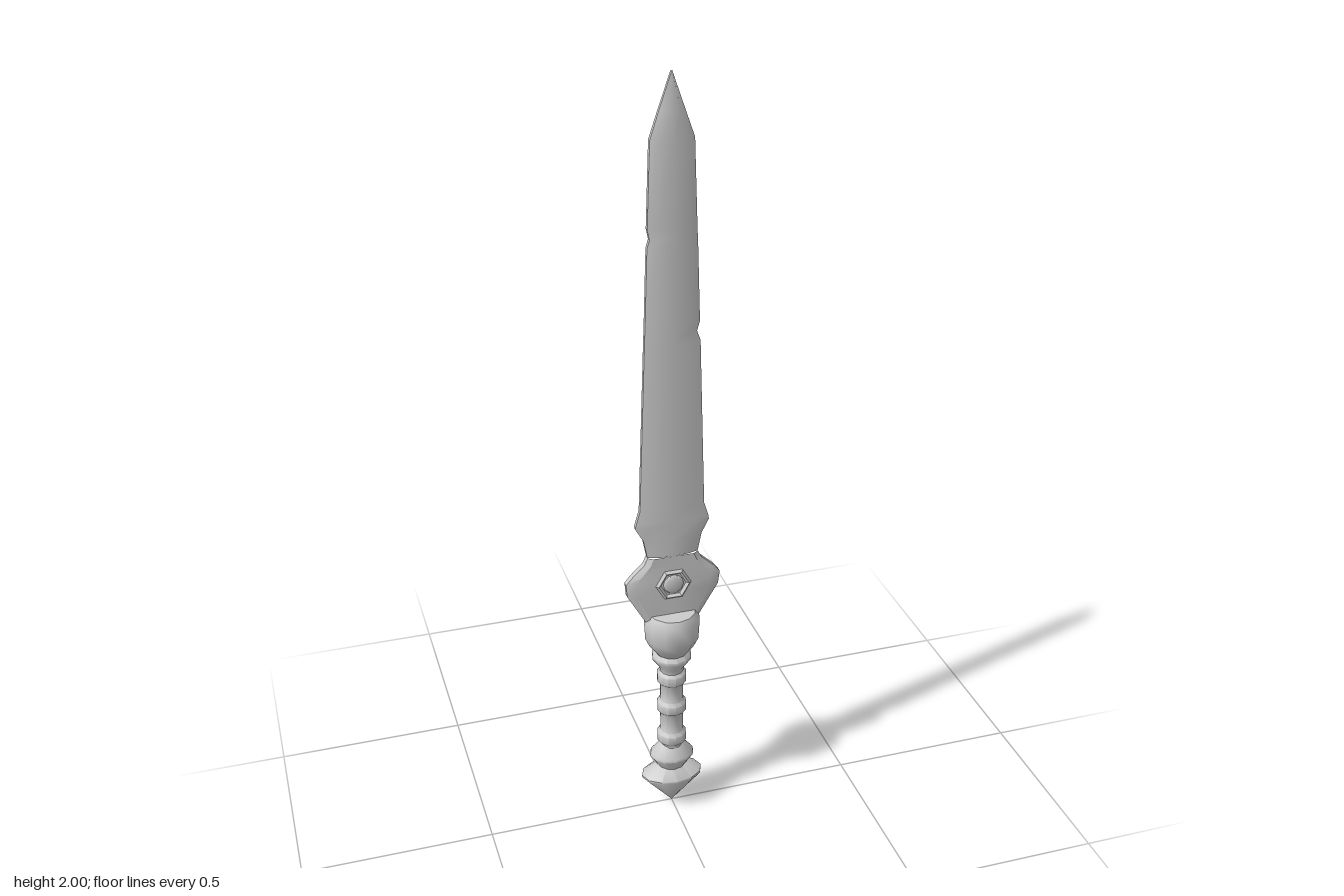
import * as THREE from 'three';
import { toCreasedNormals } from 'three/addons/utils/BufferGeometryUtils.js';

const material = new THREE.MeshStandardMaterial({ color: 0xcccccc });

function part(name, geometry, crease = 0.7) {
  const mesh = new THREE.Mesh(toCreasedNormals(geometry, crease), material);
  mesh.name = name;
  return mesh;
}

// Skin a stack of eight-cornered cross-sections: [y, left, right, middle z, shoulder z, edge z, shoulder ratio]
function bladeGeometry(rows) {
  const positions = [], index = [], n = 8;
  for (const [y, left, right, zMid, zShoulder, zEdge, k] of rows) {
    positions.push(
      right, y, zEdge, right * k, y, zShoulder, 0, y, zMid, -left * k, y, zShoulder,
      -left, y, zEdge, -left, y, -zEdge);
    // back half, with the shoulders and ridge mirrored
    positions.push(-left * k, y, -zShoulder, 0, y, -zMid, right * k, y, -zShoulder, right, y, -zEdge);
  }
  const count = n + 2;
  for (let i = 0; i < rows.length - 1; i++) {
    for (let j = 0; j < count; j++) {
      const a = i * count + j, b = i * count + (j + 1) % count;
      index.push(a, a + count, b, b, a + count, b + count);
    }
  }
  for (let j = 1; j < count - 1; j++) index.push(0, j, j + 1);
  const geometry = new THREE.BufferGeometry();
  geometry.setAttribute('position', new THREE.Float32BufferAttribute(positions, 3));
  geometry.setIndex(index);
  return geometry;
}

function turned(name, profile, depth = 1) {
  const points = profile.map(([r, y]) => new THREE.Vector2(r, y));
  const geometry = new THREE.LatheGeometry(points, 12);
  geometry.scale(1, 1, depth);
  return part(name, geometry, 0.8);
}

export function createModel() {
  const model = new THREE.Group();
  model.name = 'sword';

  // Flat guard plate with bevelled ends
  const guard = [
    [0.585, 0.066, 0.066], [0.6, 0.074, 0.074], [0.68, 0.119, 0.122],
    [0.715, 0.122, 0.126], [0.735, 0.105, 0.11], [0.765, 0.074, 0.077], [0.785, 0.065, 0.067],
  ].map(([y, l, r]) => [y, l, r, 0.017, 0.017, 0.008, 0.8]);

  // Barbed blade with a shallow ridge and a worn nick on each edge
  const edge = [
    [0.785, 0.065, 0.067], [0.835, 0.075, 0.077], [0.872, 0.096, 0.096], [0.885, 0.093, 0.094], [0.92, 0.083, 0.083],
    [1.36, 0.068, 0.07], [1.385, 0.067, 0.061], [1.41, 0.066, 0.068],
    [1.6, 0.06, 0.062], [1.62, 0.054, 0.061], [1.645, 0.059, 0.06], [1.85, 0.052, 0.053],
  ].map(([y, l, r]) => [y, l, r, 0.017, 0.014, 0.006, 0.6]);
  edge.push([1.91, 0.032, 0.032, 0.014, 0.011, 0.005, 0.6], [2, 0.001, 0.001, 0.004, 0.004, 0.003, 0.6]);

  model.add(part('guardPlate', bladeGeometry(guard), 0.5));
  model.add(part('blade', bladeGeometry(edge), 0.5));

  // Hexagonal setting and gem on both faces
  for (const side of [1, -1]) {
    const setting = new THREE.Group();
    setting.name = side > 0 ? 'frontGem' : 'backGem';
    const frame = part('gemFrame', new THREE.TorusGeometry(0.04, 0.007, 4, 6), 0.4);
    const gem = part('gem', new THREE.SphereGeometry(0.027, 8, 6), 1);
    gem.scale.z = 0.25;
    setting.add(frame, gem);
    setting.position.set(0, 0.703, side * 0.017);
    model.add(setting);
  }

  // Bulbous collar holding the blade
  model.add(turned('collar', [
    [0, 0.47], [0.038, 0.485], [0.06, 0.515], [0.071, 0.54], [0.074, 0.595], [0.062, 0.615], [0, 0.615],
  ]));

  // Ringed grip
  const grip = [[0, 0.17], [0.03, 0.17], [0.03, 0.202]];
  for (const y of [0.222, 0.32, 0.412]) {
    grip.push([0.031, y - 0.02], [0.039, y - 0.012], [0.039, y + 0.012], [0.031, y + 0.02]);
  }
  grip.push([0.033, 0.445], [0.052, 0.472], [0.052, 0.482], [0.037, 0.5]);
  model.add(turned('grip', grip));

  // Lower ring and pointed pommel, both flattened front to back
  model.add(turned('lowerRing', [[0.034, 0.115], [0.04, 0.13], [0.06, 0.16], [0.058, 0.168], [0.031, 0.2]], 0.83));
  model.add(turned('pommel', [[0, 0], [0.083, 0.094], [0.083, 0.1], [0.038, 0.132], [0, 0.132]], 0.66));

  return model;
}
